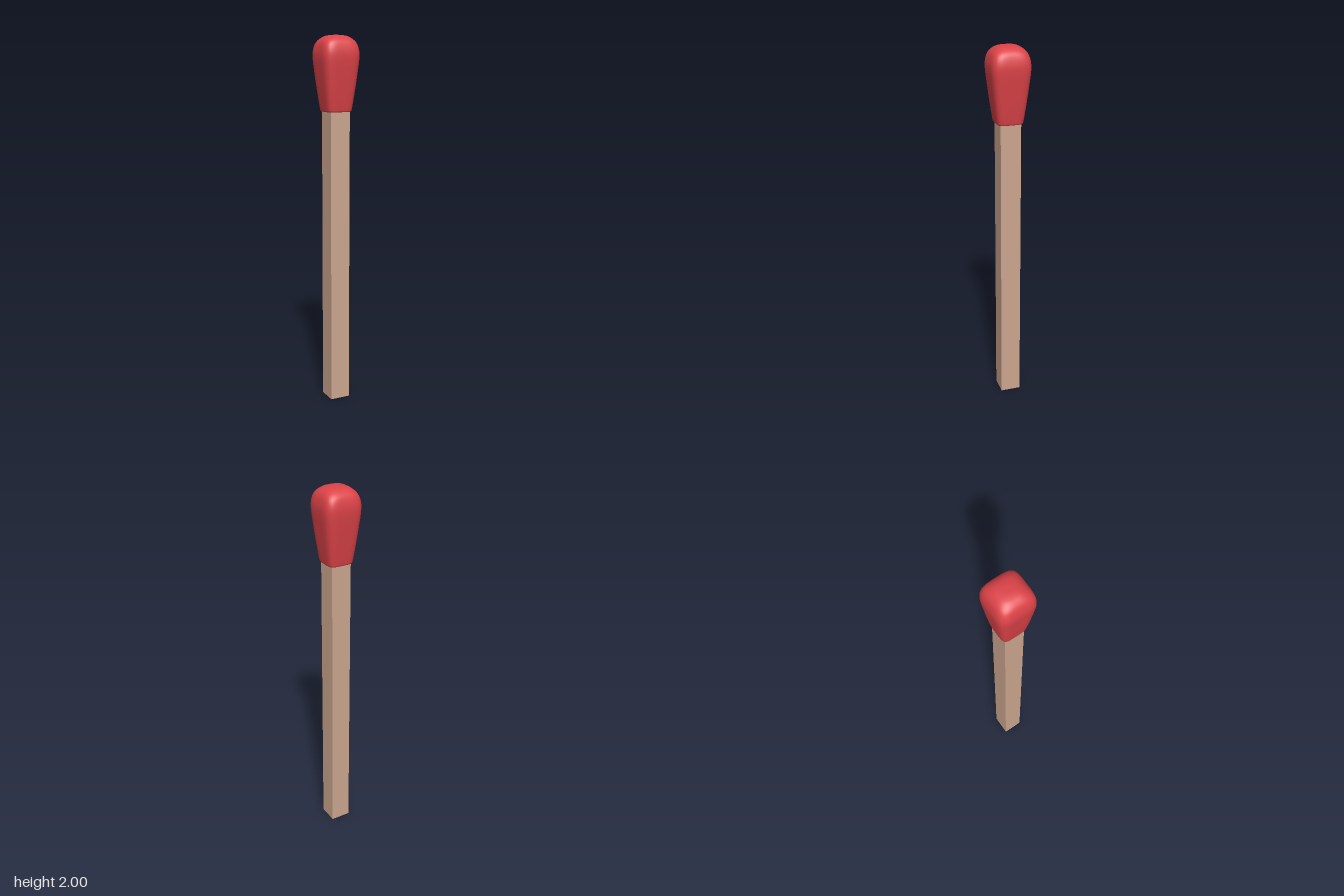
import * as THREE from 'three';
import { mergeVertices } from 'three/addons/utils/BufferGeometryUtils.js';

const HALF = 0.055; // half width of the square stick
const HEAD_BASE = 1.605;

// Rounded-square head: a lathe whose round sections are pushed out to superellipses
function headGeometry() {
  const curve = new THREE.SplineCurve([
    [0.07, HEAD_BASE + 0.004], [0.075, 1.64], [0.086, 1.72], [0.097, 1.81], [0.104, 1.88],
    [0.102, 1.925], [0.089, 1.966], [0.062, 1.99], [0.03, 1.999], [0, 2],
  ].map(([r, y]) => new THREE.Vector2(r, y)));
  const top = curve.getPoints(45);
  top[top.length - 1].set(0, 2);
  const profile = [
    new THREE.Vector2(0.03, HEAD_BASE), new THREE.Vector2(0.064, HEAD_BASE),
    new THREE.Vector2(0.067, HEAD_BASE), ...top,
  ];
  let geo = new THREE.LatheGeometry(profile, 64);
  const pos = geo.attributes.position;
  for (let i = 0; i < pos.count; i++) {
    const x = pos.getX(i), y = pos.getY(i), z = pos.getZ(i);
    const r = Math.hypot(x, z);
    if (r < 1e-6) continue;
    // sections turn rounder towards the crown
    const n = 4.8 - 1.8 * THREE.MathUtils.smoothstep(y, 1.93, 2);
    const k = (Math.abs(x / r) ** n + Math.abs(z / r) ** n) ** (-1 / n);
    pos.setXYZ(i, x * k, y, z * k);
  }
  // weld the seam so the shading is continuous
  geo.deleteAttribute('uv');
  geo.deleteAttribute('normal');
  geo = mergeVertices(geo, 1e-5);
  geo.computeVertexNormals();
  return geo;
}

export function createModel() {
  const group = new THREE.Group();
  group.name = 'matchstick';

  // Square wooden stick, its top hidden inside the head
  const length = 1.68;
  const stick = new THREE.Mesh(
    new THREE.BoxGeometry(HALF * 2, length, HALF * 2),
    new THREE.MeshStandardMaterial({ color: 0xcda78f }),
  );
  stick.position.y = length / 2;
  stick.name = 'stick';

  // Red ignition head
  const head = new THREE.Mesh(
    headGeometry(),
    new THREE.MeshStandardMaterial({ color: 0xdc4348 }),
  );
  head.name = 'head';

  group.add(stick, head);
  return group;
}
